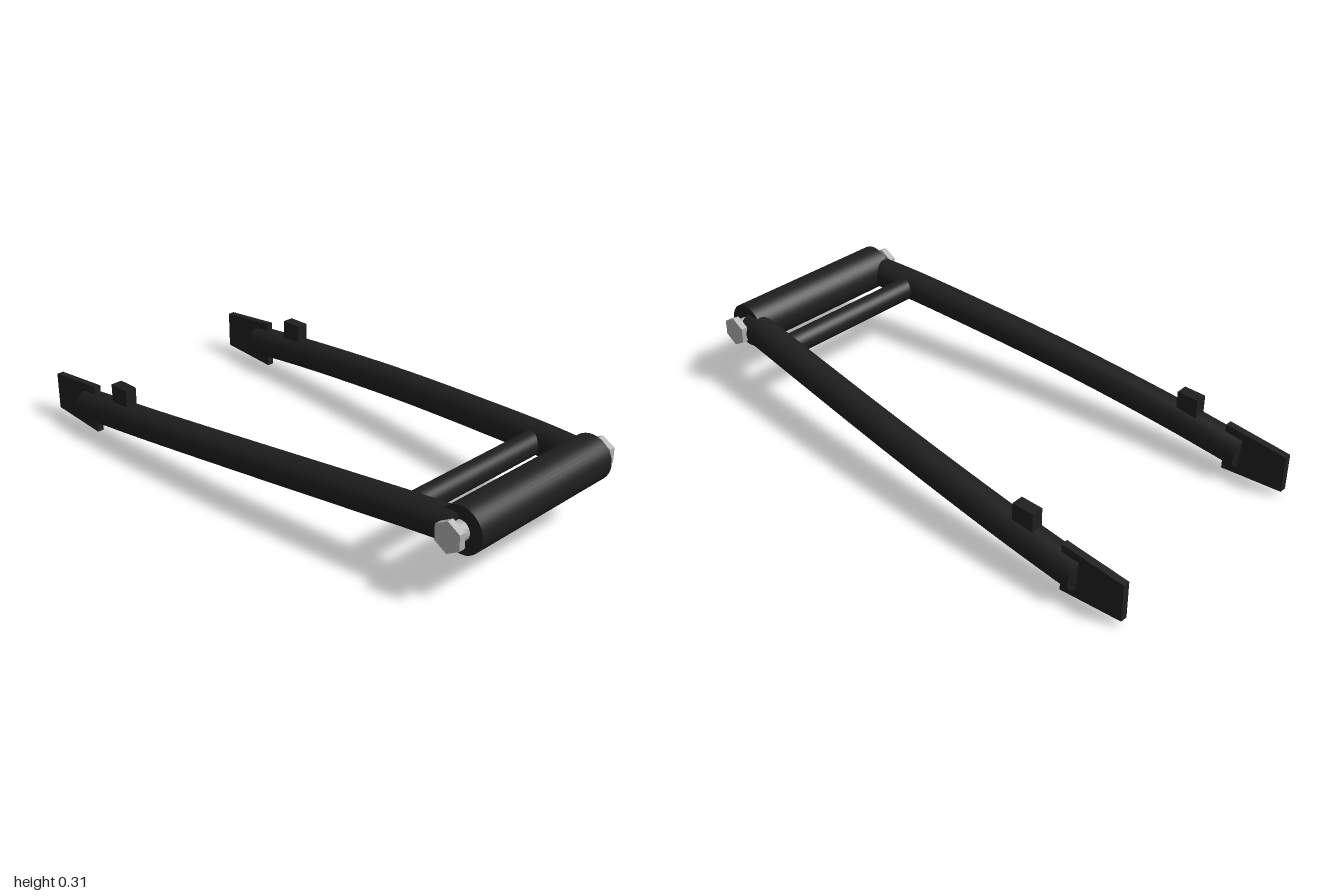
import * as THREE from 'three';

export function createModel() {
  const group = new THREE.Group();
  const frameBlack = new THREE.MeshStandardMaterial({ color: 0x1e1e1e });
  frameBlack.name = 'frame black';
  const boltSteel = new THREE.MeshStandardMaterial({ color: 0xb0b0b0 });
  boltSteel.name = 'bolt steel';

  const add = (name, geometry, material, x = 0, y = 0, z = 0) => {
    const mesh = new THREE.Mesh(geometry, material);
    mesh.name = name;
    mesh.position.set(x, y, z);
    group.add(mesh);
    return mesh;
  };
  // Cylinder lying along z
  const rod = (radius, length, sides = 32) =>
    new THREE.CylinderGeometry(radius, radius, length, sides).rotateX(Math.PI / 2);

  // Pivot tube, through bolt and cross brace
  const pivotX = 0.912, pivotY = 0.23;
  add('pivotTube', rod(0.083, 0.66, 40), frameBlack, pivotX, pivotY);
  add('pivotBolt', rod(0.035, 0.75), boltSteel, pivotX, pivotY);
  add('crossBrace', rod(0.043, 0.62), frameBlack, 0.7, 0.217);

  // Tapered axle plate outline, in the xy plane
  const plateShape = new THREE.Shape([
    [-1, 0.02], [-0.757, 0], [-0.757, 0.185], [-1, 0.163],
  ].map(([x, y]) => new THREE.Vector2(x, y)));

  for (const side of [1, -1]) {
    const label = side > 0 ? 'front' : 'back';

    // Gently curved arm
    const radius = 0.058;
    const path = new THREE.CatmullRomCurve3([
      [-0.823, 0.092, 0.438], [-0.5, 0.124, 0.431], [0, 0.169, 0.402],
      [0.5, 0.206, 0.357], [0.72, 0.22, 0.334], [0.9, 0.227, 0.312],
    ].map(([x, y, z]) => new THREE.Vector3(x, y, z * side)));
    add(label + 'Arm', new THREE.TubeGeometry(path, 40, radius, 28), frameBlack);

    // Flat caps closing the arm
    for (const t of [0, 1]) {
      const p = path.getPoint(t);
      const cap = add(label + 'ArmCap', new THREE.CircleGeometry(radius, 28), frameBlack, p.x, p.y, p.z);
      const outward = path.getTangent(t).multiplyScalar(t ? 1 : -1);
      cap.quaternion.setFromUnitVectors(new THREE.Vector3(0, 0, 1), outward);
    }

    // Axle plate and mounting tab
    const plate = new THREE.ExtrudeGeometry(plateShape, { depth: 0.026, bevelEnabled: false });
    add(label + 'AxlePlate', plate, frameBlack, 0, 0, side * 0.438 - 0.013);
    add(label + 'MountTab', new THREE.BoxGeometry(0.085, 0.1, 0.045), frameBlack, -0.599, 0.187, side * 0.432);

    // Hexagonal bolt head
    const head = new THREE.CylinderGeometry(0.056, 0.056, 0.025, 6).rotateX(Math.PI / 2).toNonIndexed();
    head.computeVertexNormals();
    add(label + 'BoltHead', head, boltSteel, pivotX, pivotY, side * 0.381);
  }
  return group;
}
